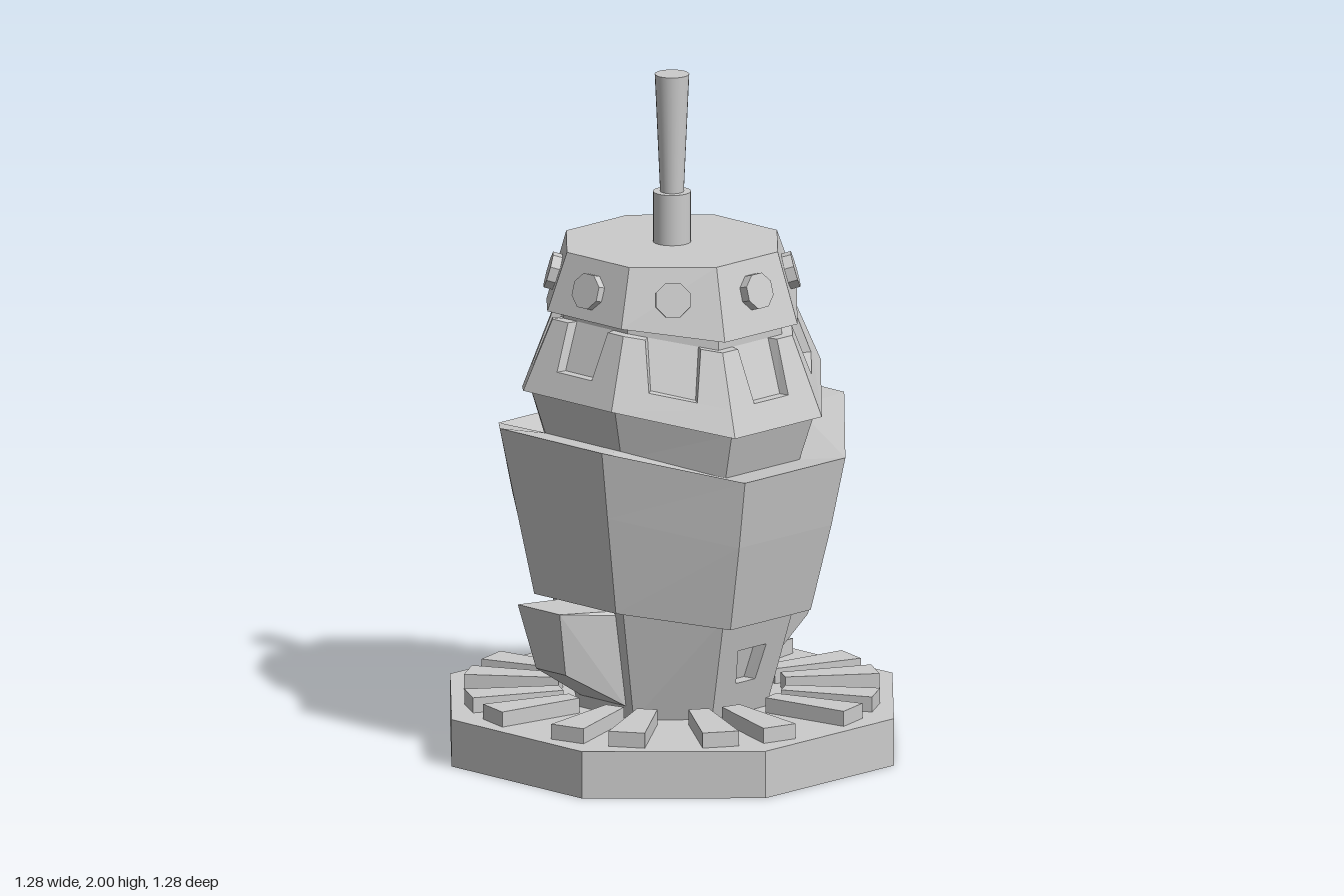
import * as THREE from 'three';
import { ConvexGeometry } from 'three/addons/geometries/ConvexGeometry.js';

const STEP = Math.PI / 4;
const grey = new THREE.MeshStandardMaterial({ color: 0xcccccc, flatShading: true });
const smooth = new THREE.MeshStandardMaterial({ color: 0xcccccc });

// A ring is [apothem, height on the x sides, height on the z sides].
function corner([r, ySide, yFront], angle, inset) {
  const R = (r - inset) / Math.cos(STEP / 2);
  const x = Math.sin(angle) * R, z = Math.cos(angle) * R;
  return new THREE.Vector3(x, Math.abs(x) > Math.abs(z) ? ySide : yFront, z);
}

// Point on octagon face k: u runs -1..1 across, v runs 0..1 from ring a to ring b.
function facePoint(a, b, k, u, v, inset = 0) {
  const at = (ring) => corner(ring, (k - 0.5) * STEP, inset)
    .lerp(corner(ring, (k + 0.5) * STEP, inset), (u + 1) / 2);
  return at(a).lerp(at(b), v);
}

function quad(out, a, b, c, d) {
  for (const p of [a, b, c, a, c, d]) out.push(p.x, p.y, p.z);
}

function meshFrom(name, out) {
  const g = new THREE.BufferGeometry();
  g.setAttribute('position', new THREE.Float32BufferAttribute(out, 3));
  g.computeVertexNormals();
  return named(name, g);
}

function named(name, geometry, material = grey) {
  const m = new THREE.Mesh(geometry, material);
  m.name = name;
  return m;
}

// Octagonal skin through a list of rings, with optional end caps.
function loft(name, rings, capBottom = false, capTop = false) {
  const out = [];
  for (let i = 0; i + 1 < rings.length; i++) {
    const [a, b] = [rings[i], rings[i + 1]];
    for (let k = 0; k < 8; k++) {
      const p = (u, v) => facePoint(a, b, k, u, v);
      quad(out, p(-1, 0), p(1, 0), p(1, 1), p(-1, 1));
    }
  }
  const cap = (ring, up) => {
    const mid = new THREE.Vector3(0, (ring[1] + ring[2]) / 2, 0);
    for (let k = 0; k < 8; k++) {
      const l = corner(ring, (k - 0.5) * STEP, 0), r = corner(ring, (k + 0.5) * STEP, 0);
      for (const p of up ? [l, r, mid] : [r, l, mid]) out.push(p.x, p.y, p.z);
    }
  };
  if (capBottom) cap(rings[0], false);
  if (capTop) cap(rings[rings.length - 1], true);
  return meshFrom(name, out);
}

// Octagonal band whose chosen faces carry a sunken trapezoid niche.
function nichedBand(name, a, b, faces, { v0, v1, u0, u1, depth }) {
  const out = [];
  for (let k = 0; k < 8; k++) {
    const p = (u, v, d) => facePoint(a, b, k, u, v, d);
    if (!faces.includes(k)) {
      quad(out, p(-1, 0), p(1, 0), p(1, 1), p(-1, 1));
      continue;
    }
    // frame around the niche
    quad(out, p(-1, 0), p(1, 0), p(1, v0), p(-1, v0));
    quad(out, p(-1, v0), p(-u0, v0), p(-u1, v1), p(-1, v1));
    quad(out, p(u0, v0), p(1, v0), p(1, v1), p(u1, v1));
    // back, floor and side walls
    quad(out, p(-u0, v0, depth), p(u0, v0, depth), p(u1, v1, depth), p(-u1, v1, depth));
    quad(out, p(-u0, v0), p(u0, v0), p(u0, v0, depth), p(-u0, v0, depth));
    quad(out, p(-u0, v0), p(-u0, v0, depth), p(-u1, v1, depth), p(-u1, v1));
    quad(out, p(u0, v0, depth), p(u0, v0), p(u1, v1), p(u1, v1, depth));
    if (v1 < 1) {
      quad(out, p(-1, v1), p(1, v1), p(1, 1), p(-1, 1));
      quad(out, p(-u1, v1, depth), p(u1, v1, depth), p(u1, v1), p(-u1, v1));
    } else {
      // open top: rim on both sides of the notch
      quad(out, p(-1, 1), p(-u1, 1), p(-u1, 1, depth), p(-1, 1, depth));
      quad(out, p(u1, 1), p(1, 1), p(1, 1, depth), p(u1, 1, depth));
    }
  }
  return meshFrom(name, out);
}

export function createModel() {
  const model = new THREE.Group();
  model.name = 'tower';

  // Base slab
  model.add(loft('base', [[0.64, 0, 0], [0.64, 0.14, 0.14]], true, true));

  // Radial ribs on the base, four per quarter
  const ribs = new THREE.Group();
  ribs.name = 'baseRibs';
  const ribShape = new THREE.Shape([
    [-0.03, 0.33], [0.03, 0.33], [0.054, 0.605], [-0.054, 0.605],
  ].map(([x, y]) => new THREE.Vector2(x, y)));
  const ribGeometry = new THREE.ExtrudeGeometry(ribShape, { depth: 0.05, bevelEnabled: false });
  ribGeometry.rotateX(Math.PI / 2).translate(0, 0.185, 0);
  for (let q = 0; q < 4; q++) {
    for (const deg of [14.5, 32, 58, 75.5]) {
      const rib = named('baseRib', ribGeometry);
      rib.rotation.y = q * Math.PI / 2 + THREE.MathUtils.degToRad(deg);
      ribs.add(rib);
    }
  }
  model.add(ribs);

  // Neck with a niche on each x side
  model.add(nichedBand('neck', [0.273, 0.14, 0.14], [0.355, 0.46, 0.51], [2, 6],
    { v0: 0.31, v1: 0.64, u0: 0.32, u1: 0.43, depth: 0.04 }));

  // Fins at front and back
  for (const s of [1, -1]) {
    const points = [];
    for (const [x, y, z] of [
      [0.085, 0.5, 0.55], [0.06, 0.305, 0.5], [0.09, 0.18, 0.285],
      [0.11, 0.465, 0.35], [0.09, 0.18, 0.2], [0.11, 0.465, 0.25],
    ]) points.push(new THREE.Vector3(x, y, z * s), new THREE.Vector3(-x, y, z * s));
    model.add(named(s > 0 ? 'frontFin' : 'backFin', new ConvexGeometry(points)));
  }

  // Flared armour shell
  model.add(loft('armourShell', [
    [0.33, 0.44, 0.49], [0.4, 0.44, 0.49], [0.46, 0.7, 0.79],
    [0.5, 0.905, 0.995], [0.36, 0.885, 0.965],
  ]));

  // Waist between shell and collar
  model.add(loft('waist', [
    [0.36, 0.86, 0.94], [0.41, 1.025, 1.105], [0.432, 1.02, 1.1],
  ]));

  // Collar with an open notch on every face
  model.add(nichedBand('collar', [0.432, 1.02, 1.1], [0.347, 1.255, 1.305],
    [0, 1, 2, 3, 4, 5, 6, 7], { v0: 0.34, v1: 1, u0: 0.42, u1: 0.56, depth: 0.03 }));

  // Head
  model.add(loft('head', [
    [0.317, 1.25, 1.3], [0.317, 1.29, 1.33], [0.362, 1.29, 1.33], [0.305, 1.5, 1.5],
  ], false, true));

  // Studs around the head, leaning with its faces
  const studs = new THREE.Group();
  studs.name = 'studs';
  const studGeometry = new THREE.CylinderGeometry(0.054, 0.054, 0.045, 8).rotateY(Math.PI / 8);
  for (let k = 0; k < 8; k++) {
    const arm = new THREE.Group();
    const stud = named('stud', studGeometry);
    stud.position.set(0, 1.41, 0.336);
    stud.rotation.x = Math.PI / 2 - 0.28;
    arm.rotation.y = k * STEP;
    arm.add(stud);
    studs.add(arm);
  }
  model.add(studs);

  // Mast
  const socket = named('mastSocket', new THREE.CylinderGeometry(0.055, 0.055, 0.16, 24), smooth);
  socket.position.y = 1.57;
  const mast = named('mast', new THREE.CylinderGeometry(0.05, 0.034, 0.36, 24), smooth);
  mast.position.y = 1.82;
  model.add(socket, mast);

  return model;
}
